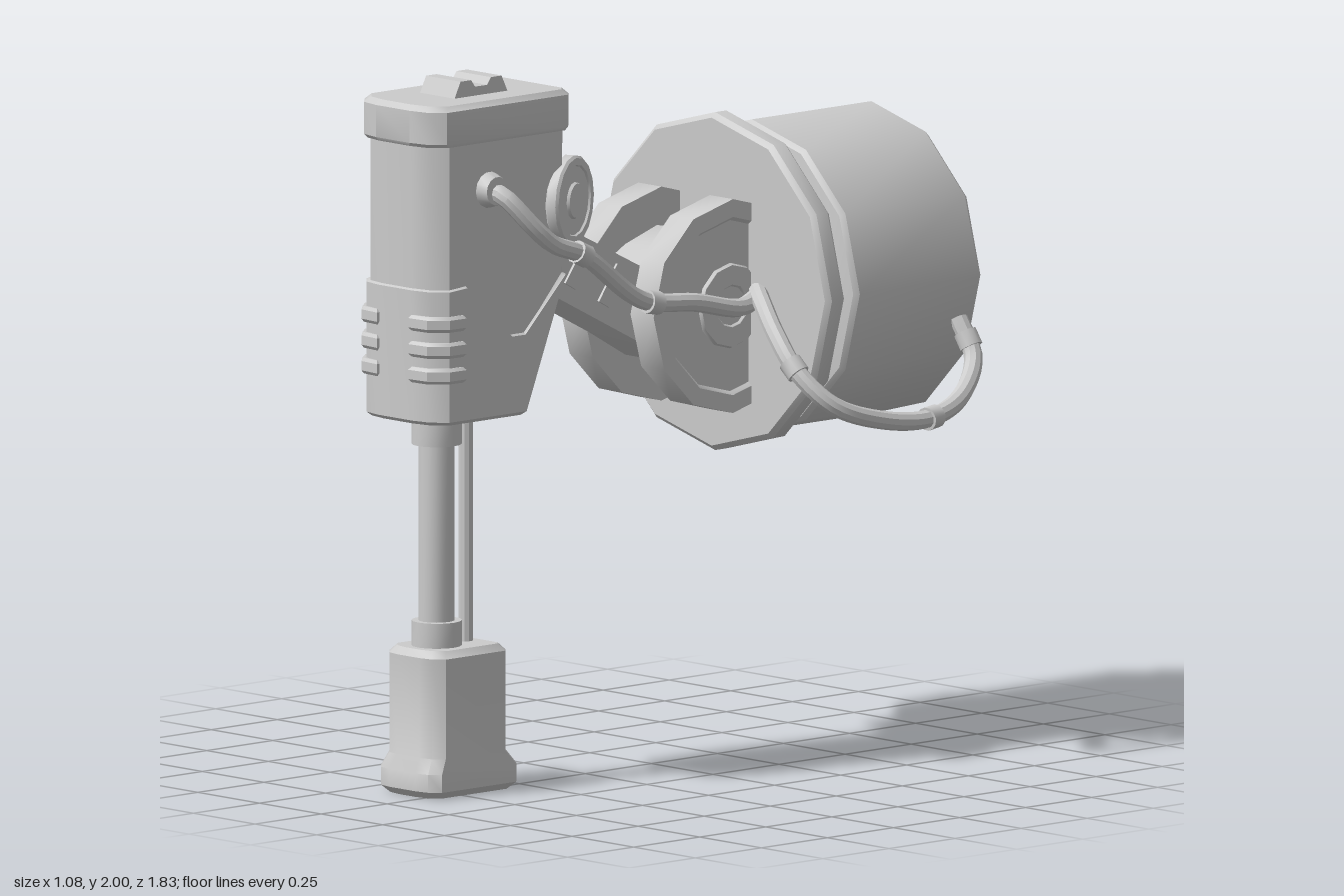
import * as THREE from 'three';
import { toCreasedNormals } from 'three/addons/utils/BufferGeometryUtils.js';

const V = (x, y, z) => new THREE.Vector3(x, y, z);
const material = new THREE.MeshStandardMaterial({ color: 0xcccccc });

function add(parent, name, geometry, x = 0, y = 0, z = 0) {
  const mesh = new THREE.Mesh(toCreasedNormals(geometry, 0.62), material);
  mesh.name = name;
  mesh.position.set(x, y, z);
  parent.add(mesh);
  return mesh;
}

const lathe = (profile, segments) =>
  new THREE.LatheGeometry(profile.map(([r, y]) => new THREE.Vector2(r, y)), segments);

// Solid through a stack of equal-length rings, closed at both ends
function loft(rings, capTop = true) {
  const n = rings[0].length, pos = [], index = [];
  rings.forEach(r => r.forEach(p => pos.push(...p)));
  for (let i = 0; i < rings.length - 1; i++)
    for (let j = 0; j < n; j++) {
      const a = i * n + j, b = i * n + (j + 1) % n;
      index.push(a, b, a + n, b, b + n, a + n);
    }
  const top = (rings.length - 1) * n;
  for (let j = 1; j < n - 1; j++) {
    index.push(0, j + 1, j);
    if (capTop) index.push(top, top + j, top + j + 1);
  }
  const g = new THREE.BufferGeometry();
  g.setAttribute('position', new THREE.Float32BufferAttribute(pos, 3));
  g.setIndex(index);
  return g;
}

// Horizontal outline with softened corners; sides adds [z, y] points along the flanks
function plan(y, h, back, front, c, sides = []) {
  const half = [
    [h - c, y, front], [h - 0.4 * c, y, front - 0.12 * c], [h, y, front - 0.5 * c],
    ...sides.map(([z, sy]) => [h, sy, z]),
    [h, y, back + 0.2 * c], [h - 0.2 * c, y, back],
  ];
  return [...half, ...half.map(([x, py, z]) => [-x, py, z]).reverse()];
}

// Side outline given as [z, y], extruded across x and centred
function sideExtrude(points, width) {
  const shape = new THREE.Shape(points.map(([z, y]) => new THREE.Vector2(-z, y)));
  const g = new THREE.ExtrudeGeometry(shape, { depth: width, bevelEnabled: false });
  return g.translate(0, 0, -width / 2).rotateY(Math.PI / 2);
}

function buildBody(g) {
  add(g, 'upperBody', loft([
    plan(1.07, 0.16, 0.565, 0.9, 0.1), plan(1.44, 0.16, 0.408, 0.9, 0.1),
    plan(1.86, 0.16, 0.405, 0.9, 0.1),
  ]));
  // Lower shell with a V-shaped upper edge on its flanks
  const vee = [[0.79, 1.44], [0.62, 1.285], [0.57, 1.285]];
  const low = y => [[0.79, y], [0.68, y], [0.62, y]];
  const veeIn = vee.map(([z, y]) => [z, y + 0.008]);
  add(g, 'lowerShell', loft([
    plan(1.06, 0.158, 0.56, 0.898, 0.1, low(1.06)),
    plan(1.07, 0.168, 0.546, 0.908, 0.1, low(1.07)),
    plan(1.435, 0.168, 0.4, 0.908, 0.1, vee),
    plan(1.443, 0.155, 0.415, 0.893, 0.1, veeIn),
  ], false));
  add(g, 'cap', loft([
    plan(1.84, 0.162, 0.396, 0.91, 0.1), plan(1.85, 0.168, 0.39, 0.917, 0.1),
    plan(1.94, 0.168, 0.39, 0.917, 0.1), plan(1.955, 0.155, 0.403, 0.902, 0.1),
  ]));
  add(g, 'topCatch', sideExtrude([
    [0.75, 1.95], [0.725, 2], [0.685, 2], [0.67, 1.98], [0.625, 1.98],
    [0.61, 2], [0.57, 2], [0.545, 1.95],
  ], 0.14));

  // Three grip ribs wrapped around each front corner
  for (const s of [-1, 1])
    for (const y of [1.345, 1.272, 1.2]) {
      const outline = [[0.07, 0.91], [0.13, 0.904], [0.17, 0.862], [0.172, 0.81],
        [0.15, 0.81], [0.15, 0.85], [0.12, 0.885], [0.07, 0.89]];
      const shape = new THREE.Shape(outline.map(([x, z]) => new THREE.Vector2(s * x, z)));
      const rib = new THREE.ExtrudeGeometry(shape,
        { depth: 0.026, bevelSize: 0.007, bevelThickness: 0.009, bevelSegments: 1 });
      add(g, 'gripRib', rib.rotateX(Math.PI / 2), 0, y + 0.013, 0);
    }
}

function buildLeg(g) {
  add(g, 'legRod', new THREE.CylinderGeometry(0.05, 0.05, 0.7, 16), 0, 0.74, 0.75);
  add(g, 'sideRod', new THREE.CylinderGeometry(0.02, 0.02, 0.7, 10), 0, 0.74, 0.64);
  for (const y of [0.445, 1.02])
    add(g, 'legCollar', new THREE.CylinderGeometry(0.07, 0.07, 0.08, 16), 0, y, 0.75);
  add(g, 'foot', loft([
    plan(0.005, 0.105, 0.57, 0.862, 0.07), plan(0.025, 0.124, 0.551, 0.88, 0.07),
    plan(0.075, 0.124, 0.551, 0.88, 0.07), plan(0.115, 0.114, 0.582, 0.857, 0.07),
    plan(0.395, 0.114, 0.582, 0.857, 0.07), plan(0.415, 0.098, 0.598, 0.841, 0.07),
  ]));
}

function buildArm(g) {
  add(g, 'arm', sideExtrude([
    [0.5, 1.44], [0.42, 1.385], [0.06, 1.2], [-0.08, 1.12], [-0.2, 1.09], [-0.3, 1.1],
    [-0.3, 1.45], [-0.2, 1.47], [-0.08, 1.43], [0, 1.385], [0.29, 1.53], [0.33, 1.62], [0.42, 1.62],
  ], 0.19));
  // Slanted pads along the arm flanks
  for (const s of [-1, 1])
    for (const [z, y] of [[0.275, 1.43], [0.148, 1.365]])
      add(g, 'armPad', sideExtrude([[0.055, -0.04], [0.015, -0.062], [-0.055, 0.035], [-0.015, 0.058]], 0.012),
        s * 0.097, y, z);
  // Upper pivot with splayed discs
  add(g, 'upperAxle', new THREE.CylinderGeometry(0.032, 0.032, 0.3, 12).rotateZ(Math.PI / 2), 0.015, 1.635, 0.365);
  for (const s of [-1, 1]) {
    const disc = new THREE.Group();
    disc.name = 'pivotDisc';
    disc.position.set(0.015 + s * 0.147, 1.635, 0.37);
    disc.rotation.y = s * 0.4;
    const profile = [[0, -0.02], [0.12, -0.02], [0.127, -0.013], [0.127, 0.013], [0.12, 0.02],
      [0.1, 0.02], [0.097, 0.014], [0.052, 0.014], [0.048, 0.022], [0, 0.022]];
    add(disc, 'discPlate', lathe(profile, 16).rotateZ(-s * Math.PI / 2));
    g.add(disc);
  }
  // Yoke cheeks holding the arm
  for (const s of [-1, 1]) {
    const cheek = [[0, -0.047], [0.3, -0.047], [0.3, 0.047], [0.25, 0.047], [0.24, 0.035],
      [0.12, 0.035], [0.115, 0.045], [0.06, 0.045], [0.055, 0.038], [0, 0.038]];
    add(g, 'yokeCheek', lathe(cheek, 12).rotateZ(-s * Math.PI / 2), s * 0.145, 1.275, -0.22);
  }
}

// Flexible hose with rings at chosen fractions of its length
function buildHose(g, points, ringsAt) {
  const curve = new THREE.CatmullRomCurve3(points.map(p => V(...p)), false, 'centripetal');
  add(g, 'hose', new THREE.TubeGeometry(curve, 48, 0.026, 10));
  for (const t of ringsAt) {
    const ring = add(g, 'hoseRing', new THREE.CylinderGeometry(0.033, 0.033, 0.045, 12));
    ring.position.copy(curve.getPointAt(t));
    ring.quaternion.setFromUnitVectors(V(0, 1, 0), curve.getTangentAt(t));
  }
}

export function createModel() {
  const root = new THREE.Group();
  root.name = 'jointedDevice';
  const group = (name, x) => {
    const g = new THREE.Group();
    g.name = name;
    g.position.x = x;
    root.add(g);
    return g;
  };
  buildBody(group('body', -0.067));
  buildLeg(group('leg', -0.067));
  buildArm(group('armAssembly', -0.097));

  // Twelve-sided drum with flange and neck
  const drum = [[0, 0.29], [0.46, 0.29], [0.474, 0.304], [0.474, 0.346], [0.46, 0.362], [0.4, 0.362],
    [0.386, 0.375], [0.386, 0.425], [0.425, 0.43], [0.438, 0.443], [0.438, 0.895], [0.424, 0.912], [0, 0.912]];
  add(group('head', -0.067), 'drum', lathe(drum, 12).rotateX(-Math.PI / 2), 0, 1.316, 0);

  const hoses = group('hoses', 0);
  buildHose(hoses, [
    [0.08, 1.705, 0.7], [0.14, 1.69, 0.69], [0.19, 1.6, 0.62], [0.2, 1.55, 0.56], [0.195, 1.505, 0.44],
    [0.175, 1.35, 0.2], [0.175, 1.32, 0.0], [0.17, 1.285, -0.17], [0.11, 1.3, -0.31],
  ], [0.32, 0.6]);
  buildHose(hoses, [
    [0.11, 1.31, -0.3], [0.21, 1.295, -0.225], [0.31, 1.22, -0.185], [0.4, 1.13, -0.18], [0.48, 1.04, -0.24],
    [0.51, 0.985, -0.4], [0.507, 0.97, -0.58], [0.455, 1.01, -0.75], [0.4, 1.1, -0.845], [0.34, 1.2, -0.845],
  ], [0.28, 0.67, 0.95]);
  add(hoses, 'hosePlug', new THREE.CylinderGeometry(0.04, 0.052, 0.035, 14).rotateZ(-Math.PI / 2), 0.108, 1.705, 0.7);
  return root;
}
